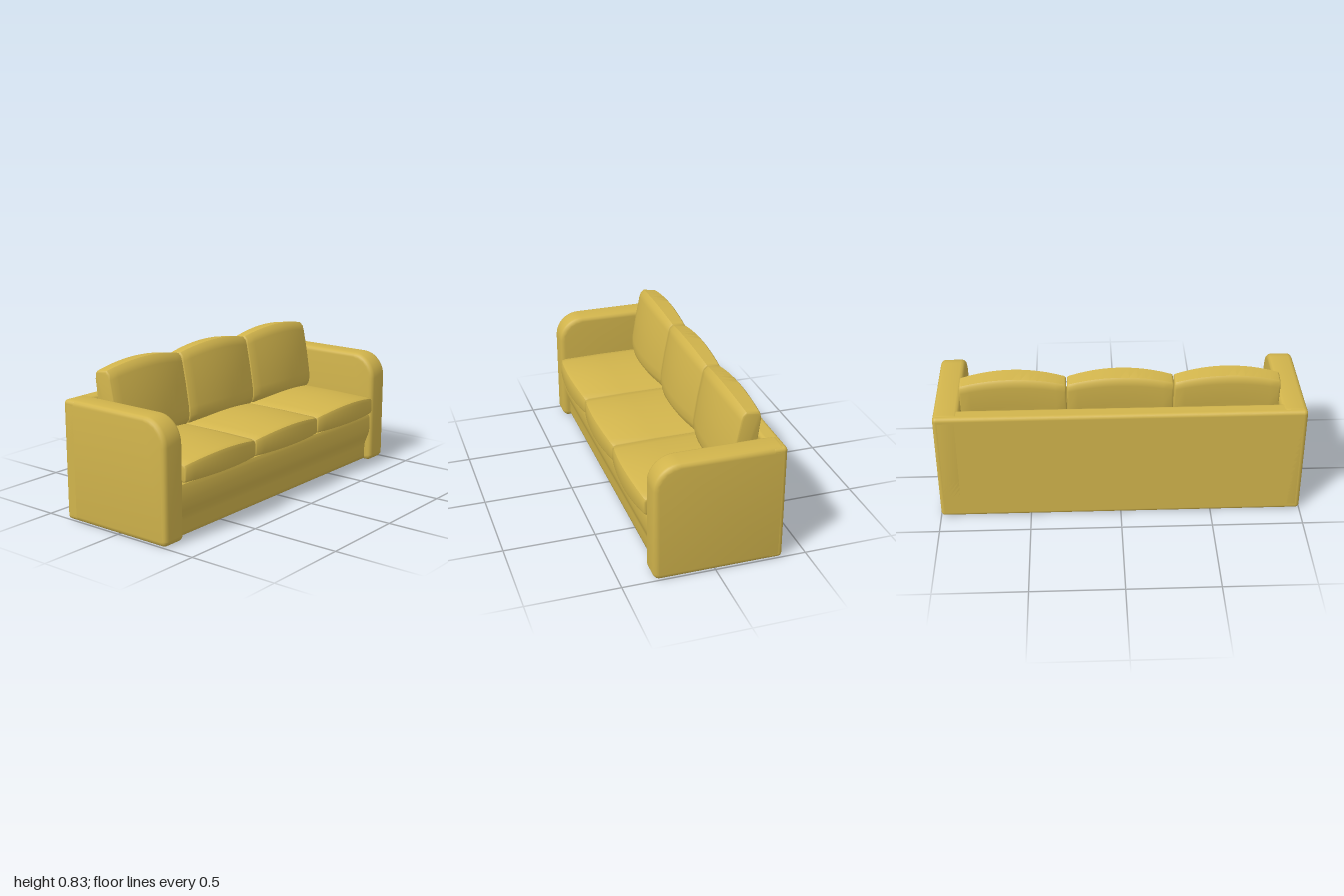
import * as THREE from 'three';
import { toCreasedNormals } from 'three/addons/utils/BufferGeometryUtils.js';
import { RoundedBoxGeometry } from 'three/addons/geometries/RoundedBoxGeometry.js';

const fabric = new THREE.MeshStandardMaterial({ color: 0xd1b44c });
fabric.name = 'mustardFabric';

// Extrude an x-y outline along z, centred, with soft edges that stay inside the outline
function slab(shape, width, bevel, steps = 1, bend = null) {
  const depth = width - 2 * bevel;
  const geo = new THREE.ExtrudeGeometry(shape, {
    depth, steps, curveSegments: 5, bevelEnabled: bevel > 0, bevelSegments: 3,
    bevelSize: bevel, bevelThickness: bevel, bevelOffset: -bevel,
  });
  geo.translate(0, 0, -depth / 2);
  if (bend) {
    const p = geo.attributes.position;
    for (let i = 0; i < p.count; i++) {
      const t = p.getZ(i) / (width / 2);
      const [x, y] = bend(p.getX(i), p.getY(i), t * t);
      p.setXY(i, x, y);
    }
  }
  return toCreasedNormals(geo, 0.7);
}

const outline = (pts) => new THREE.Shape(pts.map(([x, y]) => new THREE.Vector2(x, y)));

// Side outline of an arm: large round at the top front, small rounds elsewhere
function armShape() {
  const s = new THREE.Shape(), r = 0.035, R = 0.14, b = -0.37, f = 0.33, h = 0.655;
  s.moveTo(b + r, 0);
  s.lineTo(f - r, 0);
  s.absarc(f - r, r, r, -Math.PI / 2, 0, false);
  s.absarc(f - R, h - R, R, 0, Math.PI / 2, false);
  s.absarc(b + r, h - r, r, Math.PI / 2, Math.PI, false);
  s.absarc(b + r, r, r, Math.PI, Math.PI * 1.5, false);
  return s;
}

export function createModel() {
  const group = new THREE.Group();
  group.name = 'sofa';
  const add = (name, geo, x, y, z) => {
    const mesh = new THREE.Mesh(geo, fabric);
    mesh.name = name;
    mesh.position.set(x, y, z);
    group.add(mesh);
  };

  // Arms
  const arm = slab(armShape(), 0.14, 0.025);
  add('leftArm', arm, 0, 0, -0.93);
  add('rightArm', arm, 0, 0, 0.93);

  // Backrest panel
  add('backPanel', new RoundedBoxGeometry(0.09, 0.652, 2, 3, 0.022), -0.325, 0.327, 0);

  // Base with an apron that tucks in near the floor
  const base = outline([
    [-0.34, 0.002], [0.27, 0.002], [0.283, 0.012], [0.287, 0.03], [0.287, 0.09], [0.291, 0.115],
    [0.305, 0.15], [0.314, 0.175], [0.317, 0.2], [0.317, 0.27], [0.31, 0.292], [0.29, 0.304], [-0.34, 0.304],
  ]);
  add('base', slab(base, 1.76, 0), 0, 0, 0);

  // Seat cushions: crowned on top, bowed at the front
  const seat = slab(
    outline([
      [-0.28, 0.305], [0.35, 0.305], [0.362, 0.31], [0.367, 0.325], [0.367, 0.405],
      [0.36, 0.425], [0.34, 0.434], [0.1, 0.44], [-0.28, 0.44],
    ]),
    0.568, 0.01, 12,
    (x, y, q) => [x - 0.03 * q * Math.max(0, x) / 0.36, y - 0.035 * q * (y - 0.305) / 0.135],
  );

  // Back cushions: leaning, thicker and taller in the middle
  const back = slab(
    outline([
      [-0.24, 0.4], [-0.11, 0.41], [-0.093, 0.43], [-0.086, 0.46], [-0.088, 0.51], [-0.115, 0.655],
      [-0.145, 0.785], [-0.156, 0.815], [-0.18, 0.835], [-0.265, 0.824], [-0.276, 0.812], [-0.28, 0.78], [-0.262, 0.655],
    ]),
    0.566, 0.01, 12,
    (x, y, q) => [x - 0.034 * q * (x + 0.28) / 0.17, y - 0.036 * q * (y - 0.4) / 0.43],
  );
  for (let i = -1; i <= 1; i++) {
    add('seatCushion', seat, 0, 0, i * 0.571);
    add('backCushion', back, 0, 0, i * 0.571);
  }
  return group;
}
